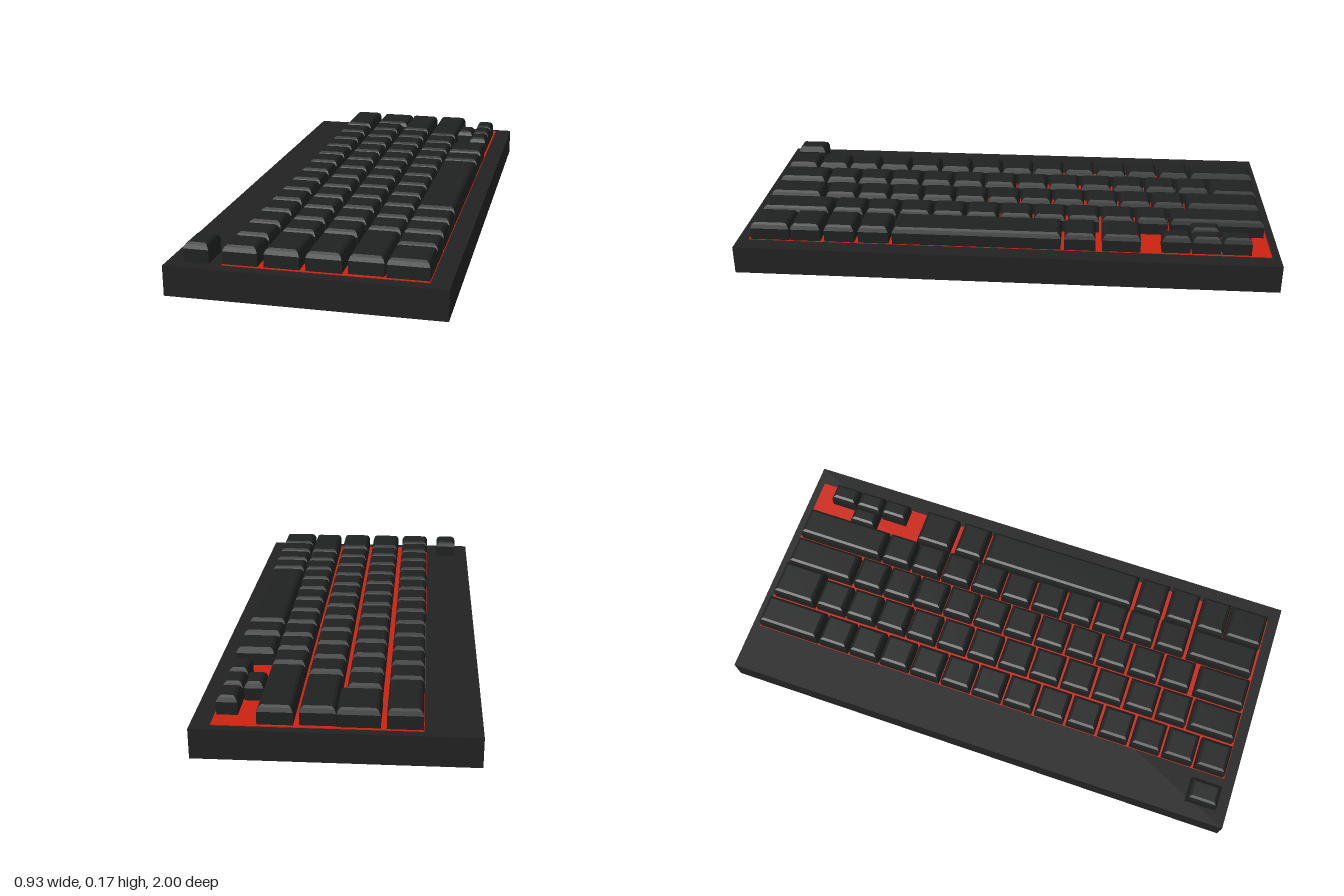
import * as THREE from 'three';

const PLATE_Y = 0.105;
const KEY_TOP = 0.171;

// Keycap: straight skirt, then two bevels up to a smaller flat top.
function keycapGeometry(x0, x1, z0, z1, top) {
  const rings = [[PLATE_Y, 0], [top - 0.02, 0], [top - 0.006, 0.006], [top, 0.015]].map(([y, inset]) => [
    [x0 + inset, y, z1 - inset], [x1 - inset, y, z1 - inset],
    [x1 - inset, y, z0 + inset], [x0 + inset, y, z0 + inset],
  ]);
  const positions = [];
  const quad = (a, b, c, d) => positions.push(...a, ...b, ...c, ...a, ...c, ...d);
  for (let r = 0; r < rings.length - 1; r++) {
    for (let i = 0; i < 4; i++) {
      const j = (i + 1) % 4;
      quad(rings[r][i], rings[r][j], rings[r + 1][j], rings[r + 1][i]);
    }
  }
  quad(...rings[rings.length - 1]);
  const geometry = new THREE.BufferGeometry();
  geometry.setAttribute('position', new THREE.Float32BufferAttribute(positions, 3));
  geometry.computeVertexNormals();
  return geometry;
}

export function createModel() {
  const model = new THREE.Group();
  model.name = 'keyboard';
  const caseMaterial = new THREE.MeshStandardMaterial({ color: 0x222222 });
  caseMaterial.name = 'charcoal case';
  const keyMaterial = new THREE.MeshStandardMaterial({ color: 0x202121 });
  keyMaterial.name = 'black keycap';
  const plateMaterial = new THREE.MeshStandardMaterial({ color: 0xcc2210 });
  plateMaterial.name = 'red plate';

  // Case, with the switch plate laid on top
  const body = new THREE.Mesh(new THREE.BoxGeometry(0.932, PLATE_Y, 2), caseMaterial);
  body.name = 'case';
  body.position.y = PLATE_Y / 2;
  const plate = new THREE.Mesh(new THREE.BoxGeometry(0.68, 0.002, 1.928), plateMaterial);
  plate.name = 'switchPlate';
  plate.position.set(0.06, PLATE_Y + 0.001, -0.006);
  model.add(body, plate);

  const addKey = (parent, name, x0, x1, z0, z1, top = KEY_TOP) => {
    const key = new THREE.Mesh(keycapGeometry(x0, x1, z0, z1, top), keyMaterial);
    key.name = name;
    parent.add(key);
  };

  // Regular rows: x range, first key, pitch, count, then the wider end keys
  const rows = [
    { name: 'numberRow', x: [-0.278, -0.161], start: -0.708, pitch: 0.1284, count: 13, wide: [] },
    { name: 'upperLetterRow', x: [-0.14, -0.022], start: -0.777, pitch: 0.1287, count: 12, wide: [[0.767, 0.949]] },
    { name: 'homeRow', x: [-0.002, 0.117], start: -0.671, pitch: 0.1284, count: 11, wide: [[0.751, 0.949]] },
    { name: 'lowerLetterRow', x: [0.136, 0.253], start: -0.602, pitch: 0.1285, count: 10, wide: [[-0.958, -0.612], [0.687, 0.944]] },
    { name: 'bottomRow', x: [0.26, 0.398], start: 0, pitch: 0, count: 0,
      wide: [[-0.496, -0.356], [-0.332, -0.218], [-0.205, 0.418], [0.432, 0.545], [0.56, 0.672], [0.687, 0.799], [0.804, 0.949]] },
  ];
  for (const { name, x, start, pitch, count, wide } of rows) {
    const row = new THREE.Group();
    row.name = name;
    for (let i = 0; i < count; i++) {
      const z = start + i * pitch;
      addKey(row, 'key', x[0], x[1], z, z + 0.118);
    }
    for (const [z0, z1] of wide) addKey(row, 'wideKey', x[0], x[1], z0, z1);
    model.add(row);
  }

  // Special keys
  addKey(model, 'escapeKey', -0.41, -0.324, 0.838, 0.953);
  addKey(model, 'backspaceKey', -0.278, -0.161, -0.963, -0.718, 0.174);
  addKey(model, 'enterKeyUpper', -0.142, -0.002, -0.96, -0.788);
  addKey(model, 'enterKeyLower', -0.001, 0.117, -0.955, -0.685);

  // Arrow cluster
  const arrows = new THREE.Group();
  arrows.name = 'arrowKeys';
  for (const z of [-0.897, -0.787, -0.677]) addKey(arrows, 'arrowKey', 0.323, 0.393, z, z + 0.104);
  addKey(arrows, 'arrowKey', 0.255, 0.32, -0.787, -0.683);
  model.add(arrows);

  return model;
}
